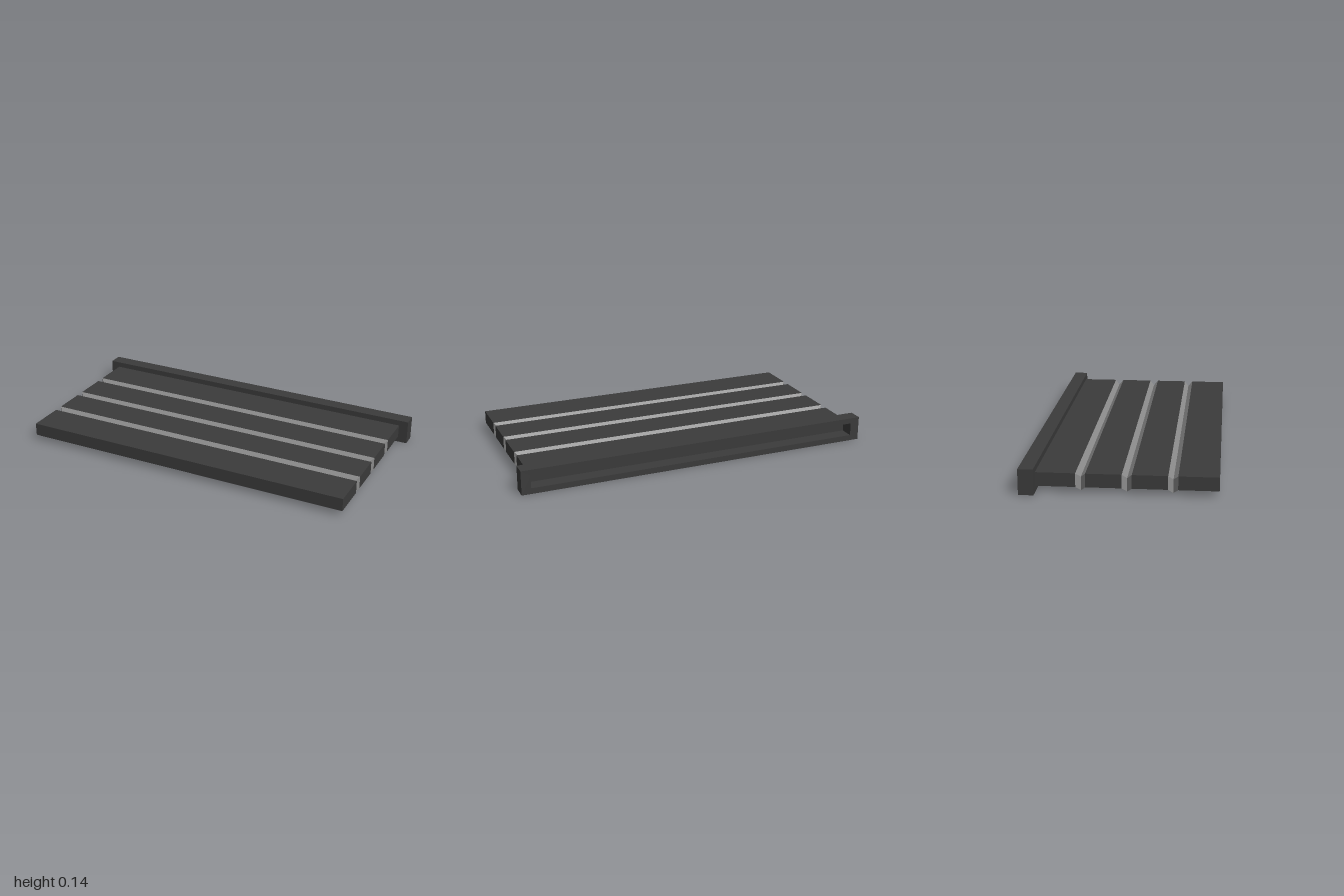
import * as THREE from 'three';

const W = 0.948, Y0 = 0.032, Y1 = 0.104;      // panel half width, bottom, top
const FRONT = 0.5, SEAM = -0.422;             // panel run along z
const FOLD = 0.025;                           // fold half depth, inset and sag
const FOLDS = [0.27, 0.039, -0.194];

// Rectangular loop of four corners at a given z
const loop = (z, w, y0, y1) => [[-w, y0, z], [w, y0, z], [w, y1, z], [-w, y1, z]];

// Skin between successive loops running from +z to -z
function skin(loops) {
  const pos = [];
  for (let i = 0; i < loops.length - 1; i++) {
    const a = loops[i], b = loops[i + 1];
    for (let k = 0; k < 4; k++) {
      const n = (k + 1) % 4;
      pos.push(...a[k], ...b[k], ...b[n], ...a[k], ...b[n], ...a[n]);
    }
  }
  const g = new THREE.BufferGeometry();
  g.setAttribute('position', new THREE.Float32BufferAttribute(pos, 3));
  g.computeVertexNormals();
  return g;
}

export function createModel() {
  const group = new THREE.Group();
  const dark = new THREE.MeshStandardMaterial({ color: 0x3b3b3b });
  dark.name = 'charcoal';
  const grey = new THREE.MeshStandardMaterial({ color: 0x8c8c8c, side: THREE.DoubleSide });
  grey.name = 'foldGrey';

  const add = (name, geometry, material) => {
    const mesh = new THREE.Mesh(geometry, material);
    mesh.name = name;
    group.add(mesh);
    return mesh;
  };

  // Rigid panels between the folds
  const starts = [FRONT, ...FOLDS.map(z => z - FOLD)];
  const ends = [...FOLDS.map(z => z + FOLD), SEAM];
  starts.forEach((z, i) => {
    const d = z - ends[i];
    add('panel' + (i + 1), new THREE.BoxGeometry(2 * W, Y1 - Y0, d), dark)
      .position.set(0, (Y0 + Y1) / 2, z - d / 2);
  });

  // V-shaped folds, pinched at the sides and sagging below the panels
  FOLDS.forEach((z, i) => add('fold' + (i + 1), skin([
    loop(z + FOLD, W, Y0, Y1),
    loop(z, W - FOLD, Y0 - FOLD, Y1 - FOLD),
    loop(z - FOLD, W, Y0, Y1),
  ]), grey));

  // Rear collar: an open frame with the last panel's end as its recessed floor
  const rect = (P, w, y0, y1) => {
    const p = new P();
    p.moveTo(-w, y0).lineTo(w, y0).lineTo(w, y1).lineTo(-w, y1).closePath();
    return p;
  };
  const frame = rect(THREE.Shape, 1, 0, 0.135);
  frame.holes.push(rect(THREE.Path, W, Y0, Y1));
  add('rearCollar', new THREE.ExtrudeGeometry(frame, { depth: SEAM + 0.5, bevelEnabled: false }), dark)
    .position.z = -0.5;

  return group;
}
